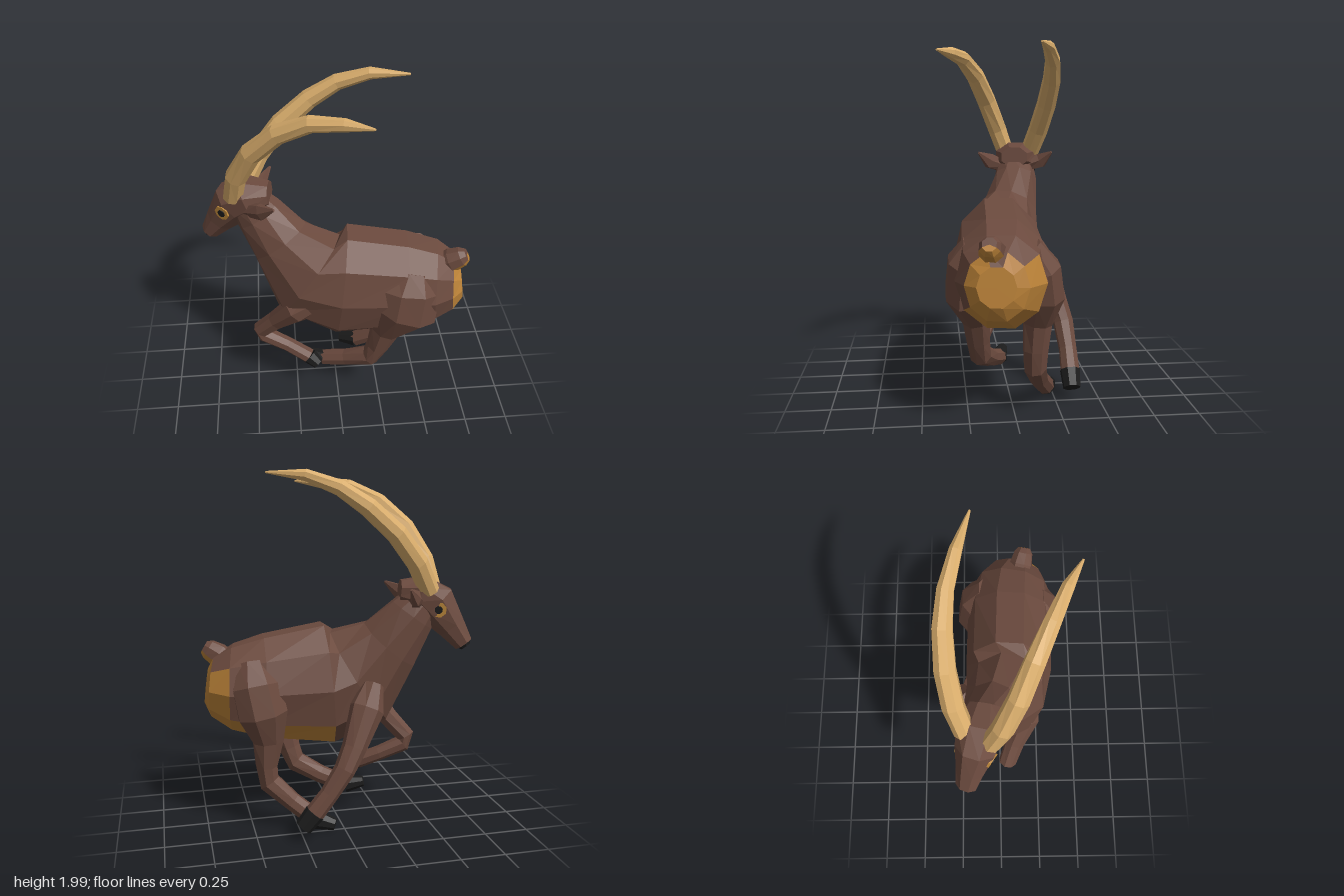
import * as THREE from 'three';

const BROWN = 0x6b4a3e, TAN = 0xbb8238, HORN = 0xd9ad6c, BLACK = 0x1c1c1c;
const V = (x, y, z) => new THREE.Vector3(x, y, z);

function facetMesh(name, color, positions) {
  const g = new THREE.BufferGeometry();
  g.setAttribute('position', new THREE.Float32BufferAttribute(positions, 3));
  g.computeVertexNormals();
  const mesh = new THREE.Mesh(g, new THREE.MeshStandardMaterial({ color, flatShading: true }));
  mesh.name = name;
  return mesh;
}

// Closed loft through stations [x, y, z, sideRadius, upRadius].
// pick(centroid, angleFromBottom) chooses the faces that take the marking colour.
function loft(name, color, stations, { n = 8, up = V(0, 0, 1), pick = () => false } = {}) {
  const centres = stations.map(s => V(s[0], s[1], s[2]));
  const last = stations.length - 1;
  const rings = stations.map(([, , , r, r2 = r], i) => {
    const t = centres[Math.min(i + 1, last)].clone().sub(centres[Math.max(i - 1, 0)]).normalize();
    const side = t.clone().cross(up).normalize();
    const top = side.clone().cross(t);
    return Array.from({ length: n }, (_, j) => {
      const a = (j + 0.5) / n * Math.PI * 2;
      return centres[i].clone().addScaledVector(side, r * Math.sin(a)).addScaledVector(top, -r2 * Math.cos(a));
    });
  });
  const main = [], marking = [];
  const face = (corners, j) => {
    const c = corners.reduce((s, p) => s.add(p), V(0, 0, 0)).divideScalar(corners.length);
    const a = (j + 1) / n * 360;
    const out = pick(c, Math.min(a, 360 - a)) ? marking : main;
    for (let k = 1; k + 1 < corners.length; k++)
      for (const p of [corners[0], corners[k], corners[k + 1]]) out.push(p.x, p.y, p.z);
  };
  for (let j = 0; j < n; j++) {
    const k = (j + 1) % n;
    for (let i = 0; i < last; i++) face([rings[i][j], rings[i + 1][j], rings[i + 1][k], rings[i][k]], j);
    face([centres[0], rings[0][j], rings[0][k]], j);
    face([centres[last], rings[last][k], rings[last][j]], j);
  }
  const group = new THREE.Group();
  group.name = name;
  group.add(facetMesh(name + 'Main', color, main));
  if (marking.length) group.add(facetMesh(name + 'Marking', TAN, marking));
  return group;
}

export function createModel() {
  const model = new THREE.Group();
  model.name = 'mountainGoat';
  const Y = V(0, 1, 0);

  // Trunk and neck, rump to nape, with pale belly, throat and rump
  model.add(loft('body', BROWN, [
    [0.725, 0.80, 0.125, 0.10, 0.105],
    [0.685, 0.795, 0.12, 0.165, 0.18],
    [0.58, 0.79, 0.09, 0.235, 0.25],
    [0.40, 0.79, 0.07, 0.26, 0.305],
    [0.03, 0.795, 0.055, 0.255, 0.365],
    [-0.155, 0.84, 0.03, 0.235, 0.315],
    [-0.315, 1.03, -0.055, 0.16, 0.195],
    [-0.43, 1.20, -0.095, 0.13, 0.14],
    [-0.50, 1.30, -0.10, 0.11, 0.10],
  ], {
    n: 10, up: Y,
    pick: (c, a) => a < 10 || (c.x > 0.2 && a < 40) || (c.x > 0.61 && c.y < 0.91),
  }));

  // Head and muzzle
  model.add(loft('head', BROWN, [
    [-0.36, 1.335, -0.08, 0.085, 0.065],
    [-0.47, 1.325, -0.10, 0.135, 0.105],
    [-0.56, 1.26, -0.125, 0.115, 0.13],
    [-0.65, 1.13, -0.16, 0.08, 0.085],
    [-0.715, 1.035, -0.185, 0.062, 0.056],
  ], { up: Y, pick: (c, a) => a < 10 && c.x < -0.5 }));
  model.add(loft('nose', BLACK, [
    [-0.713, 1.038, -0.184, 0.05, 0.045],
    [-0.726, 1.018, -0.192, 0.038, 0.03],
  ], { up: Y }));

  // Eyes, lying flush on the tapering cheeks
  for (const s of [1, -1]) {
    const side = V(-0.43 * s, 0, 0.9 * s);
    const out = side.clone().add(V(-0.14, -0.1, -0.07)).normalize();
    for (const [name, color, r, d] of [['eyePatch', 0xc08a3c, 0.045, 0.1], ['pupil', BLACK, 0.023, 0.105]]) {
      const eye = new THREE.Mesh(new THREE.CylinderGeometry(r, r, 0.035, 8),
        new THREE.MeshStandardMaterial({ color, flatShading: true }));
      eye.name = name;
      eye.quaternion.setFromUnitVectors(Y, out);
      eye.position.set(-0.585, 1.24, -0.133).addScaledVector(side, d - 0.014);
      model.add(eye);
    }
  }

  // Ears
  const ears = [
    [[-0.48, 1.27, -0.02], [-0.41, 1.31, 0.07], [-0.34, 1.365, 0.14]],
    [[-0.43, 1.28, -0.17], [-0.40, 1.31, -0.25], [-0.35, 1.365, -0.31]],
  ];
  for (const [a, b, c] of ears)
    model.add(loft('ear', BROWN, [[...a, 0.045, 0.04], [...b, 0.03, 0.05], [...c, 0.006, 0.008]], { n: 6, up: Y }));

  // Long swept horns
  const hornRadii = [0.057, 0.06, 0.058, 0.053, 0.044, 0.033, 0.006];
  const horns = {
    leftHorn: [[-0.56, 1.34, -0.05], [-0.53, 1.5, 0.01], [-0.44, 1.68, 0.085], [-0.30, 1.825, 0.16],
      [-0.14, 1.915, 0.24], [0.02, 1.94, 0.315], [0.15, 1.95, 0.39]],
    rightHorn: [[-0.50, 1.34, -0.185], [-0.41, 1.5, -0.235], [-0.28, 1.66, -0.265], [-0.12, 1.8, -0.27],
      [0.03, 1.9, -0.25], [0.2, 1.965, -0.2], [0.4, 1.98, -0.135]],
  };
  for (const [name, path] of Object.entries(horns))
    model.add(loft(name, HORN, path.map((p, i) => [...p, hornRadii[i]])));

  // Tail, pale underneath
  model.add(loft('tail', BROWN, [
    [0.56, 0.91, 0.11, 0.05], [0.65, 0.965, 0.14, 0.07], [0.705, 1.0, 0.155, 0.058], [0.73, 1.015, 0.16, 0.038],
  ], { up: Y, pick: (c, a) => a < 80 }));

  // Galloping legs; the final two stations of each are the hoof
  const legs = {
    frontLeftLeg: [
      [-0.16, 0.73, 0.16, 0.07, 0.08], [-0.24, 0.68, 0.16, 0.085, 0.08], [-0.36, 0.54, 0.09, 0.06],
      [-0.455, 0.43, 0.045, 0.055], [-0.44, 0.385, 0.045, 0.05], [-0.3, 0.32, 0.08, 0.045],
      [-0.17, 0.26, 0.135, 0.047], [-0.12, 0.22, 0.165, 0.035]],
    frontRightLeg: [
      [-0.18, 0.82, -0.18, 0.06, 0.06], [-0.13, 0.70, -0.24, 0.1, 0.075], [-0.04, 0.50, -0.30, 0.07, 0.062],
      [0.02, 0.39, -0.33, 0.06], [0.11, 0.26, -0.342, 0.052], [0.19, 0.16, -0.342, 0.055],
      [0.255, 0.08, -0.342, 0.05]],
    hindLeftLeg: [
      [0.42, 0.94, 0.20, 0.11, 0.085], [0.40, 0.85, 0.245, 0.18, 0.115], [0.385, 0.70, 0.255, 0.19, 0.12],
      [0.28, 0.52, 0.20, 0.095, 0.08], [0.24, 0.37, 0.185, 0.068], [0.20, 0.275, 0.17, 0.064],
      [0.06, 0.205, 0.105, 0.053], [-0.08, 0.155, 0.045, 0.05], [-0.18, 0.175, 0.01, 0.03]],
    hindRightLeg: [
      [0.48, 0.95, -0.06, 0.09, 0.07], [0.47, 0.83, -0.12, 0.14, 0.115], [0.44, 0.68, -0.14, 0.145, 0.12],
      [0.41, 0.52, -0.12, 0.09, 0.08], [0.42, 0.37, -0.11, 0.063, 0.07], [0.405, 0.27, -0.11, 0.064],
      [0.28, 0.155, -0.15, 0.053], [0.155, 0.06, -0.205, 0.054], [0.055, 0.035, -0.25, 0.033]],
  };
  for (const [name, s] of Object.entries(legs)) {
    model.add(loft(name, BROWN, s.slice(0, -1)));
    const [a, b] = s.slice(-2);
    model.add(loft(name + 'Hoof', BLACK, [[a[0], a[1], a[2], a[3] * 1.06], b]));
  }
  return model;
}
